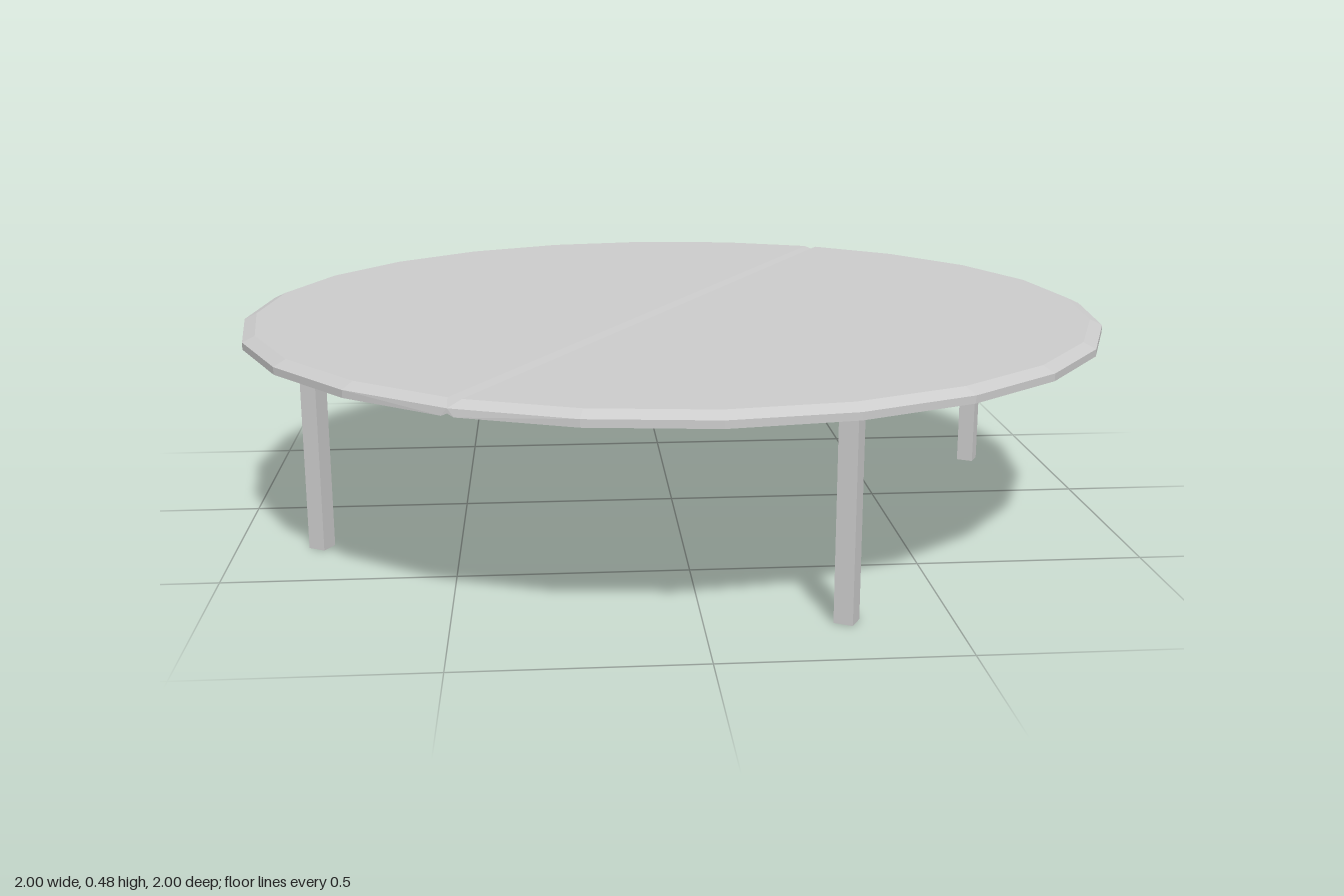
import * as THREE from 'three';
import { ConvexGeometry } from 'three/addons/geometries/ConvexGeometry.js';

const TURN = THREE.MathUtils.degToRad(61); // direction of the seam across the top
const SEGMENTS = 12; // sides per half disc

// Half disc with a bevelled rim; [height, radius, seam inset] for each ring
function halfTopGeometry() {
  const rings = [
    [0.455, 1, 0.014],
    [0.461, 1, 0],
    [0.471, 1, 0],
    [0.484, 0.972, 0.016],
  ];
  const points = [];
  for (const [y, r, inset] of rings) {
    for (let i = 0; i <= SEGMENTS; i++) {
      const a = (i / SEGMENTS) * Math.PI;
      const z = Math.max(Math.sin(a) * r, inset);
      points.push(new THREE.Vector3(Math.cos(a) * r, y, -z));
    }
  }
  return new ConvexGeometry(points);
}

export function createModel() {
  const group = new THREE.Group();
  group.name = 'roundTable';
  const material = new THREE.MeshStandardMaterial({ color: 0xcccccc, flatShading: true });

  // Two half discs meeting in a shallow V-groove
  const halfGeometry = halfTopGeometry();
  for (let i = 0; i < 2; i++) {
    const half = new THREE.Mesh(halfGeometry, material);
    half.name = `tabletopHalf${i + 1}`;
    half.rotation.y = TURN + i * Math.PI;
    group.add(half);
  }

  // Four square legs, a quarter turn apart
  const legGeometry = new THREE.BoxGeometry(0.0405, 0.457, 0.0405);
  for (let i = 0; i < 4; i++) {
    const leg = new THREE.Mesh(legGeometry, material);
    leg.name = `leg${i + 1}`;
    leg.position.set(0.812, 0.2285, -0.286)
      .applyAxisAngle(new THREE.Vector3(0, 1, 0), (i * Math.PI) / 2);
    leg.rotation.y = TURN;
    group.add(leg);
  }
  return group;
}
